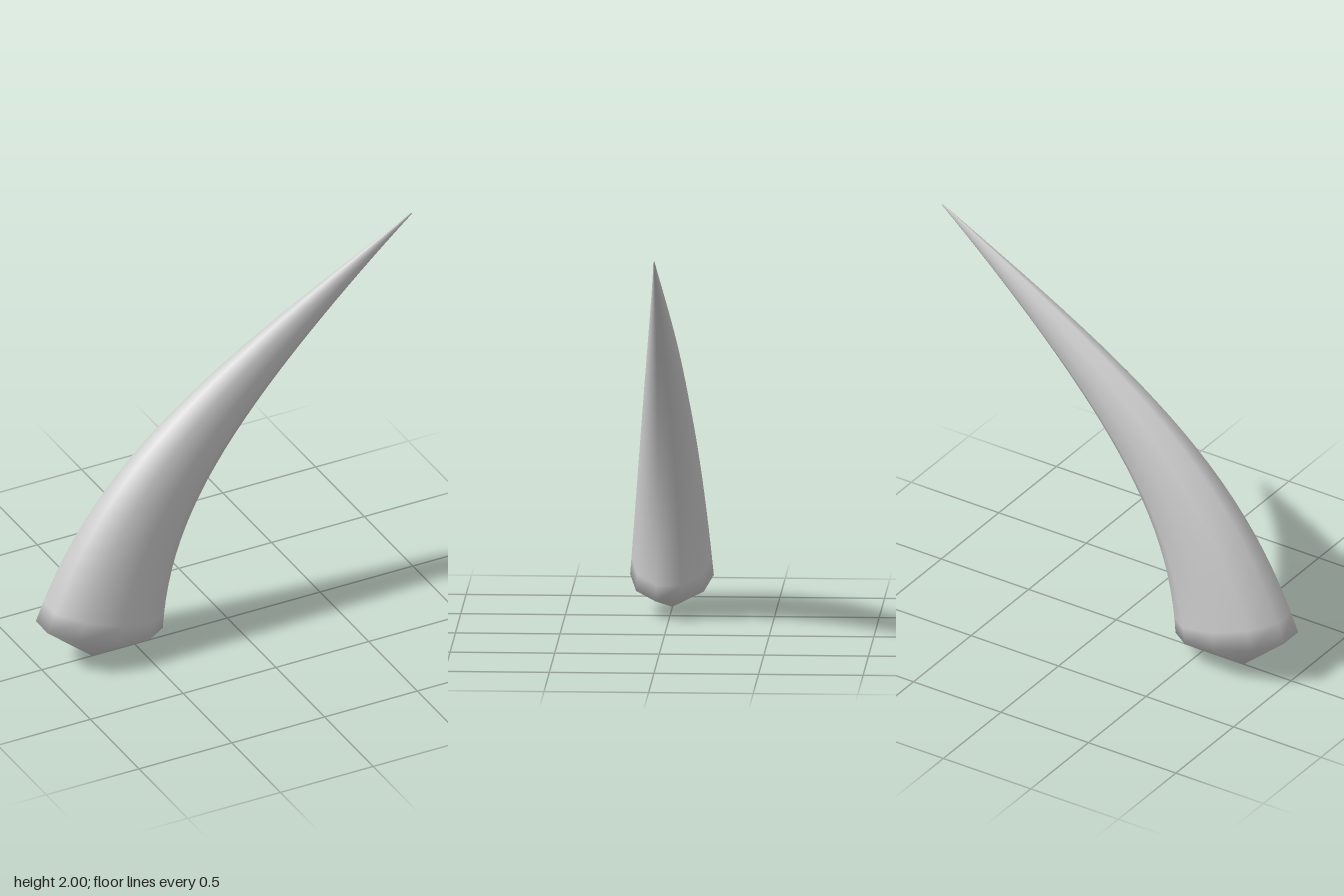
import * as THREE from 'three';

const SIDES = 10;
const RINGS = 28;

// Tapered ten-sided sweep along a curve, closed by a blunt point at the root and a fine one at the tip
function sweepHorn(path, rootPoint, wide, deep, tipScale) {
  const positions = [];
  const index = [];
  for (let i = 0; i <= RINGS; i++) {
    const u = i / RINGS;
    const c = path.getPointAt(u);
    const t = path.getTangentAt(u);
    const s = tipScale + (1 - tipScale) * Math.pow(1 - u, 1.08);
    for (let j = 0; j < SIDES; j++) {
      const a = ((j + 0.5) / SIDES) * Math.PI * 2;
      const w = Math.cos(a) * wide * s;
      positions.push(c.x - t.y * w, c.y + t.x * w, Math.sin(a) * deep * s);
    }
  }
  const root = positions.length / 3;
  const tip = root + 1;
  const end = path.getPointAt(1);
  positions.push(rootPoint.x, rootPoint.y, 0, end.x, end.y, 0);

  const last = RINGS * SIDES;
  for (let j = 0; j < SIDES; j++) {
    const k = (j + 1) % SIDES;
    for (let i = 0; i < RINGS; i++) {
      const lo = i * SIDES;
      const hi = lo + SIDES;
      index.push(lo + j, lo + k, hi + k, lo + j, hi + k, hi + j);
    }
    index.push(root, k, j);
    index.push(last + j, last + k, tip);
  }

  const geometry = new THREE.BufferGeometry();
  geometry.setAttribute('position', new THREE.Float32BufferAttribute(positions, 3));
  geometry.setIndex(index);
  geometry.computeVertexNormals();
  return geometry;
}

export function createModel() {
  const group = new THREE.Group();
  group.name = 'curvedHorn';

  const grey = new THREE.MeshStandardMaterial({ color: 0xcccccc });
  grey.name = 'light grey';

  // Centre line from the root up to the tip
  const path = new THREE.CubicBezierCurve3(
    new THREE.Vector3(-0.69, 0.165, 0),
    new THREE.Vector3(-0.52, 0.869, 0),
    new THREE.Vector3(-0.058, 1.291, 0),
    new THREE.Vector3(0.993, 1.996, 0)
  );
  const horn = new THREE.Mesh(
    sweepHorn(path, new THREE.Vector2(-0.73, 0), 0.335, 0.2, 0.015),
    grey
  );
  horn.name = 'horn';
  group.add(horn);
  return group;
}
